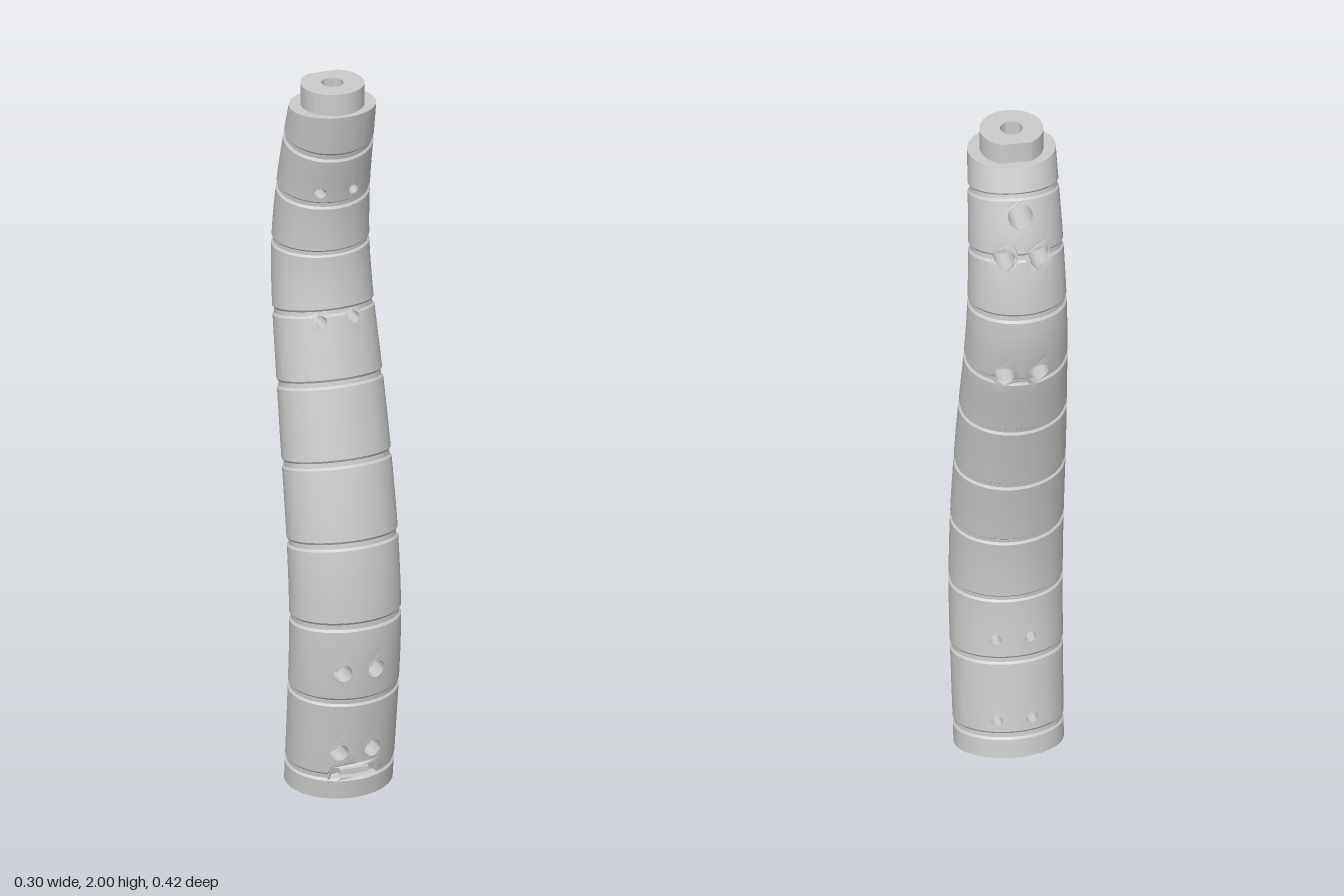
import * as THREE from 'three';
import { mergeVertices, toCreasedNormals } from 'three/addons/utils/BufferGeometryUtils.js';

const BOTTOM = 0.015, TOP = 1.94, COLS = 72;
const GROOVES = [0.08, 0.305, 0.51, 0.72, 0.93, 1.14, 1.33, 1.52, 1.68, 1.84];

// Smooth function of height through [height, value] pairs
function profile(pairs) {
  const c = new THREE.CubicInterpolant(pairs.map(p => p[0]), pairs.map(p => p[1]), 1);
  return y => c.evaluate(y)[0];
}
const centre = profile([[0.015, 0.044], [0.2, 0.068], [0.4, 0.09], [0.5, 0.094], [0.7, 0.076], [1, 0.013],
  [1.2, -0.036], [1.35, -0.073], [1.5, -0.09], [1.7, -0.066], [1.82, -0.034], [1.94, 0]]);
const halfWidth = profile([[0.015, 0.147], [0.5, 0.152], [1, 0.148], [1.33, 0.138], [1.7, 0.126], [1.94, 0.118]]);
const halfDepth = profile([[0.015, 0.12], [0.5, 0.12], [1, 0.111], [1.33, 0.111], [1.5, 0.115], [1.7, 0.106], [1.94, 0.102]]);

// Tilt of each cross-section: square to the centre line, level at the top
function tilt(v) {
  const a = Math.max(BOTTOM, v - 0.02), b = Math.min(TOP, v + 0.02);
  return -(centre(b) - centre(a)) / (b - a) * THREE.MathUtils.clamp((TOP - v) / 0.1, 0, 1);
}
function groove(v) {
  return Math.max(...GROOVES.map(g => 0.005 * THREE.MathUtils.clamp((0.012 - Math.abs(v - g)) / 0.006, 0, 1)));
}
function onSection(angle, v, rx, rz) {
  const c = Math.cos(angle) * rz;
  return new THREE.Vector3(Math.sin(angle) * rx, v + tilt(v) * c, centre(v) + c);
}
const surface = (angle, v) => onSection(angle, v, halfWidth(v) - groove(v), halfDepth(v) - groove(v));

// Surface coordinates (angle, v) of a point seen at x, y from the front or back
function locate(x, y, back) {
  let v = y, angle = 0;
  for (let i = 0; i < 25; i++) {
    const s = Math.asin(x / (halfWidth(v) - groove(v)));
    angle = back ? Math.PI - s : s;
    v = y - tilt(v) * (halfDepth(v) - groove(v)) * Math.cos(angle);
  }
  return new THREE.Vector2(angle, v);
}

function finish(points, index) {
  let g = new THREE.BufferGeometry().setFromPoints(points);
  g.setIndex(index);
  g = mergeVertices(g, 1e-5);
  return toCreasedNormals(g, 0.55);
}

// Skin between closed loops that have equal point counts
function loft(loops) {
  const n = loops[0].length, index = [];
  for (let k = 0; k < loops.length - 1; k++) for (let i = 0; i < n; i++) {
    const a = k * n + i, b = k * n + (i + 1) % n;
    index.push(a, b, b + n, a, b + n, a + n);
  }
  return finish(loops.flat(), index);
}
const circle = (x, y, r) => Array.from({ length: 28 }, (_, i) => {
  const a = i / 28 * Math.PI * 2;
  return new THREE.Vector2(x + r * Math.cos(a), y + r * Math.sin(a));
});
const atDepth = (outline, z) => outline.map(p => new THREE.Vector3(p.x, p.y, z));
function midpoint(loop) {
  const m = new THREE.Vector3();
  loop.forEach(p => m.addScaledVector(p, 1 / loop.length));
  return loop.map(() => m.clone());
}

// Body skin: a grid of rings, with the cells around each opening refilled by a pierced patch
function bodyGeometry(openings) {
  const rows = [BOTTOM];
  for (const g of [...GROOVES, null]) {
    const from = rows[rows.length - 1], to = g === null ? TOP : g - 0.012;
    const n = Math.max(1, Math.round((to - from) / 0.03));
    for (let i = 1; i <= n; i++) rows.push(from + (to - from) * i / n);
    if (g !== null) rows.push(g - 0.006, g + 0.006, g + 0.012);
  }
  const angleAt = i => -Math.PI / 2 + i / COLS * Math.PI * 2;
  const points = [], index = [], used = new Set();

  for (const hole of openings) {
    const box = new THREE.Box2().setFromPoints(hole);
    const col = a => (a + Math.PI / 2) / (Math.PI * 2) * COLS;
    const i0 = Math.floor(col(box.min.x) - 0.05), i1 = Math.ceil(col(box.max.x) + 0.05);
    const j0 = rows.findLastIndex(v => v < box.min.y - 0.002), j1 = rows.findIndex(v => v > box.max.y + 0.002);
    const outline = [], add = (i, j) => outline.push(new THREE.Vector2(angleAt(i), rows[j]));
    for (let i = i0; i < i1; i++) add(i, j0);
    for (let j = j0; j < j1; j++) add(i1, j);
    for (let i = i1; i > i0; i--) add(i, j1);
    for (let j = j1; j > j0; j--) add(i0, j);
    for (let i = i0; i < i1; i++) for (let j = j0; j < j1; j++) used.add(i + ',' + j);
    const base = points.length;
    for (const f of THREE.ShapeUtils.triangulateShape(outline, [hole])) index.push(...f.map(k => k + base));
    points.push(...[...outline, ...hole].map(p => surface(p.x, p.y)));
  }

  const base = points.length, w = COLS + 1;
  rows.forEach(v => { for (let i = 0; i <= COLS; i++) points.push(surface(angleAt(i), v)); });
  for (let j = 0; j < rows.length - 1; j++) for (let i = 0; i < COLS; i++) {
    if (used.has(i + ',' + j)) continue;
    const a = base + j * w + i;
    index.push(a, a + 1, a + w + 1, a, a + w + 1, a + w);
  }
  return finish(points, index);
}

export function createModel() {
  const group = new THREE.Group();
  const solid = new THREE.MeshStandardMaterial({ color: 0xcccccc });
  const open = new THREE.MeshStandardMaterial({ color: 0xcccccc, side: THREE.DoubleSide });
  const add = (name, geometry, material = solid) => {
    const mesh = new THREE.Mesh(geometry, material);
    mesh.name = name;
    group.add(mesh);
    return mesh;
  };
  const openings = [];
  // Cuts an outline into the skin and returns its edge in space
  const cut = (outline, back) => {
    const uv = outline.map(p => locate(p.x, p.y, back));
    openings.push(uv);
    return uv.map(p => surface(p.x, p.y));
  };

  // Stepped screw holes through the body, wide end at the front below and at the back above
  for (const [y, wideBack] of [[0.14, false], [0.38, false], [1.33, true], [1.7, true]]) {
    for (const x of [-0.047, 0.047]) {
      const wide = circle(x, y, wideBack ? 0.027 : 0.024), narrow = circle(x, y, 0.015);
      const z = centre(y) + (wideBack ? -0.04 : 0.05);
      add('screwHole', loft([cut(wide, wideBack), atDepth(wide, z), atDepth(narrow, z), cut(narrow, !wideBack)]), open);
    }
  }

  // Blind cable hole near the top of the back
  const cable = circle(0, 1.815, 0.033), cableEnd = atDepth(cable, -0.03);
  add('cableHole', loft([cut(cable, true), cableEnd, midpoint(cableEnd)]), open);

  // Latch slot low on the front, with a small latch inside
  const slot = [];
  for (let i = 0; i <= 10; i++) slot.push(new THREE.Vector2(-0.065 + 0.013 * i, 0.06));
  for (let i = 10; i >= 0; i--) slot.push(new THREE.Vector2(-0.065 + 0.013 * i, 0.094));
  const slotEdge = cut(slot, false);
  const slotFloor = slotEdge.map(p => p.clone().add(new THREE.Vector3(0, 0, -0.02)));
  add('latchSlot', loft([slotEdge, slotFloor, midpoint(slotFloor)]), open);
  add('latch', new THREE.BoxGeometry(0.08, 0.014, 0.02)).position.set(0, 0.077, 0.154);

  add('body', bodyGeometry(openings));

  // End faces, each with a blind centre bore
  for (const [name, v, depth] of [['bottomEnd', BOTTOM, 0.2], ['topEnd', TOP, -0.08]]) {
    const ring = f => Array.from({ length: COLS }, (_, i) => f(-Math.PI / 2 + i / COLS * Math.PI * 2));
    const inner = ring(a => onSection(a, v, 0.03, 0.03));
    const deep = ring(a => onSection(a, v + depth, 0.03, 0.03));
    add(name, loft([ring(a => surface(a, v)), inner, deep, midpoint(deep)]), open);
  }

  // Round top peg with a flat at the back
  const flat = Math.asin(0.075 / 0.085);
  const pegShape = new THREE.Shape().absarc(0, 0, 0.085, Math.PI - flat, Math.PI * 2 + flat, false);
  pegShape.holes.push(new THREE.Path().absarc(0, 0, 0.03, 0, Math.PI * 2, true));
  const peg = new THREE.ExtrudeGeometry(pegShape, { depth: 0.06, bevelEnabled: false, curveSegments: 40 });
  peg.rotateX(-Math.PI / 2).translate(0, TOP, 0);
  add('topPeg', toCreasedNormals(peg, 0.55));

  return group;
}
